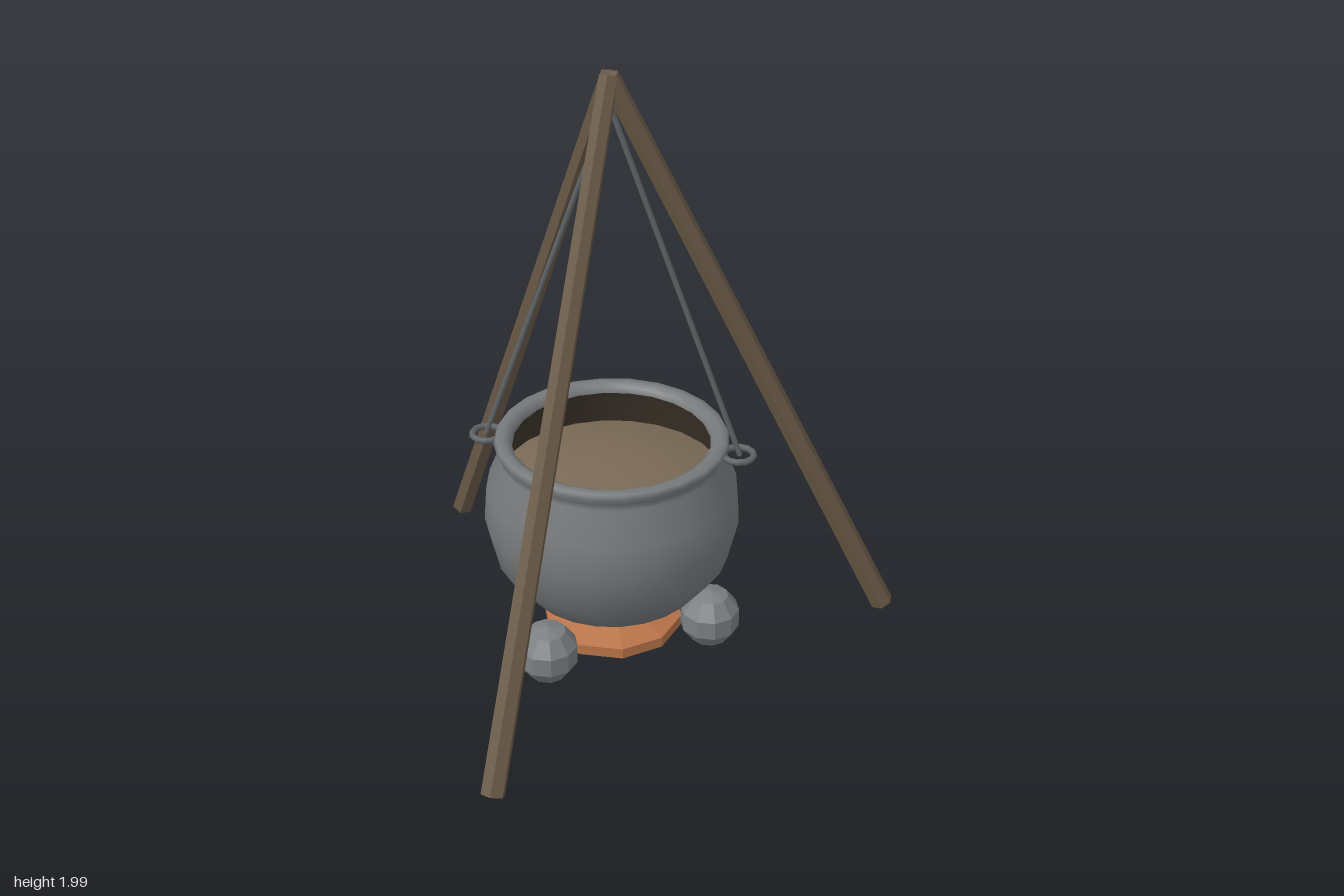
import * as THREE from 'three';

const material = (name, color, extra = {}) => {
  const m = new THREE.MeshStandardMaterial({ color, ...extra });
  m.name = name;
  return m;
};

export function createModel() {
  const wood = material('wood', 0x6b5b48, { flatShading: true });
  const potGrey = material('pot grey', 0x77797b);
  const soot = material('soot', 0x3d352b);
  const stew = material('stew brown', 0x7a6a56);
  const iron = material('dark iron', 0x5f6468);
  const stoneGrey = material('stone grey', 0x7b7f82, { flatShading: true });
  const ember = material('ember orange', 0xb87348, { flatShading: true });

  const model = new THREE.Group();
  model.name = 'campfireCauldron';
  const CX = -0.105, CZ = -0.14; // shared vertical axis of pot, fire and tripod

  const add = (name, geometry, mat, x = CX, y = 0, z = CZ) => {
    const mesh = new THREE.Mesh(geometry, mat);
    mesh.name = name;
    mesh.position.set(x, y, z);
    model.add(mesh);
    return mesh;
  };

  // Straight tapered bar between two points
  const bar = (name, top, bottom, rTop, rBottom, sides, mat) => {
    const a = new THREE.Vector3(...top), b = new THREE.Vector3(...bottom);
    const dir = a.clone().sub(b);
    const mid = a.clone().add(b).multiplyScalar(0.5);
    const mesh = add(name, new THREE.CylinderGeometry(rTop, rBottom, dir.length(), sides), mat, mid.x, mid.y, mid.z);
    mesh.quaternion.setFromUnitVectors(new THREE.Vector3(0, 1, 0), dir.normalize());
  };

  const lathe = (points, segments) =>
    new THREE.LatheGeometry(points.map(([r, y]) => new THREE.Vector2(r, y)), segments);

  // Tripod
  [[0.79, -0.42], [-0.79, -0.78], [-0.31, 0.77]].forEach(([x, z], i) =>
    bar('tripodLeg' + (i + 1), [CX, 1.985, CZ], [x, 0.035, z], 0.031, 0.039, 6, wood));

  // Pot body with rolled rim
  add('potBody', lathe([
    [0, 0.18], [0.14, 0.188], [0.295, 0.235], [0.385, 0.35], [0.418, 0.49],
    [0.408, 0.61], [0.362, 0.72], [0.367, 0.745], [0.38, 0.768],
    [0.372, 0.783], [0.347, 0.787], [0.325, 0.775], [0.32, 0.755],
  ], 24), potGrey);

  // Dark inner wall and the stew
  add('potInterior', lathe([[0.32, 0.755], [0.335, 0.72], [0.375, 0.6]], 24), soot);
  add('stew', lathe([[0.37, 0.62], [0.3, 0.643], [0.2, 0.665], [0.1, 0.677], [0, 0.68]], 24), stew);

  // Handle rings and the rods they hang from
  for (const side of [-1, 1]) {
    const label = side > 0 ? 'left' : 'right';
    const ring = add(label + 'HandleRing', new THREE.TorusGeometry(0.049, 0.011, 6, 12), iron, CX + side * 0.411, 0.745);
    ring.rotation.x = Math.PI / 2;
    bar(label + 'HangingRod', [CX, 1.9, CZ], [CX + side * 0.415, 0.745, CZ], 0.009, 0.009, 6, iron);
  }

  // Hearth stones
  for (let i = 0; i < 3; i++) {
    const a = i * Math.PI * 2 / 3;
    add('hearthStone' + (i + 1), new THREE.SphereGeometry(0.104, 10, 5), stoneGrey,
      CX + Math.cos(a) * 0.33, 0.11, CZ + Math.sin(a) * 0.33);
  }

  // Ember bed
  add('emberBed', new THREE.SphereGeometry(0.246, 10, 5), ember, CX, 0.08).scale.y = 0.24;

  return model;
}
